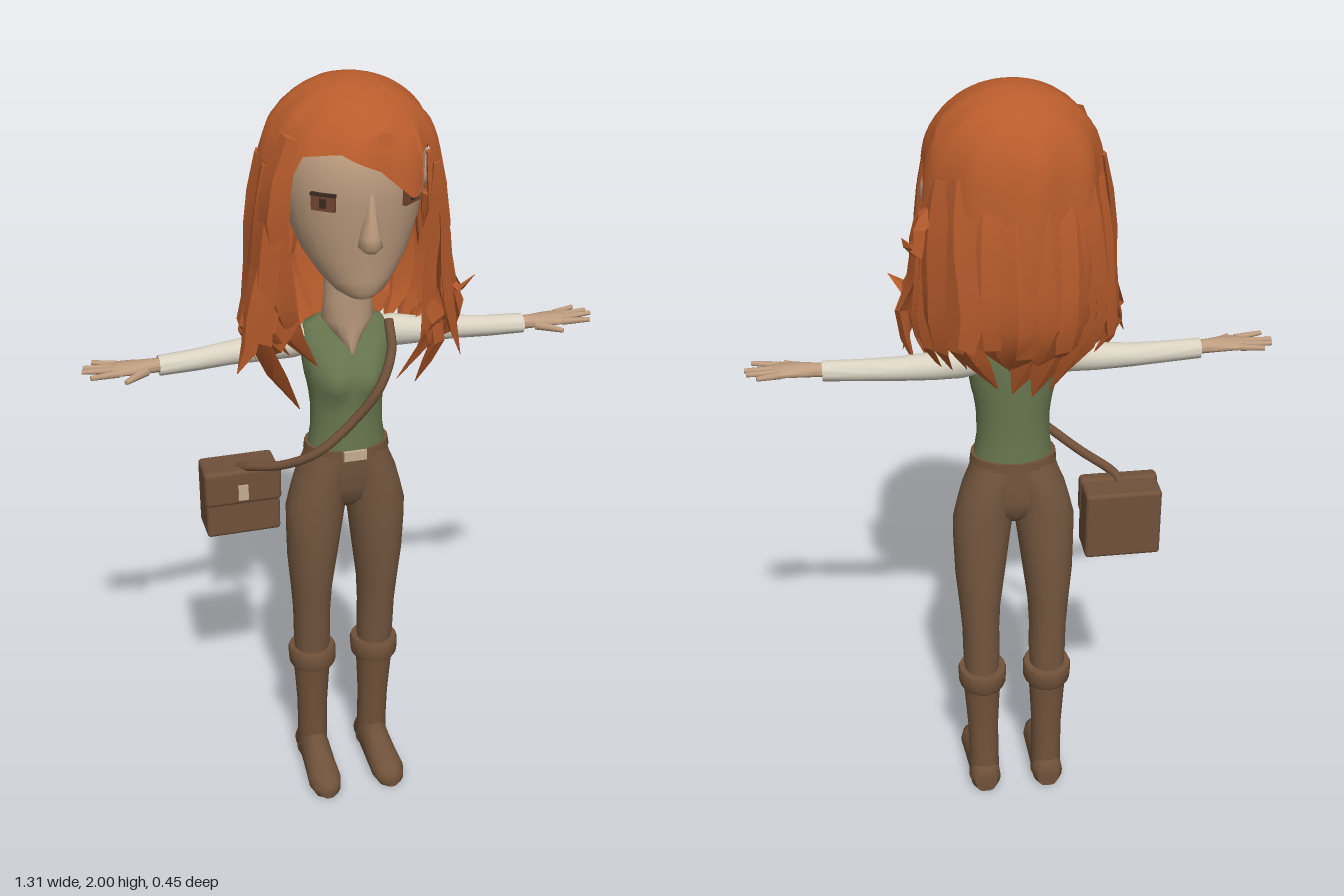
import * as THREE from 'three';
import { toCreasedNormals } from 'three/addons/utils/BufferGeometryUtils.js';
import { RoundedBoxGeometry } from 'three/addons/geometries/RoundedBoxGeometry.js';

const mat = (name, color, side = THREE.FrontSide) => {
  const m = new THREE.MeshStandardMaterial({ color, side });
  m.name = name;
  return m;
};
const V = (x, y, z) => new THREE.Vector3(x, y, z);

// Joins rings of points into a surface, with optional end caps
function skin(rings, caps = true, crease = 0.9) {
  const n = rings[0].length, pos = [], idx = [];
  rings.forEach(r => r.forEach(p => pos.push(p.x, p.y, p.z)));
  for (let i = 0; i < rings.length - 1; i++) {
    for (let j = 0; j < n; j++) {
      const k = (j + 1) % n, a = i * n + j, b = i * n + k;
      idx.push(a, a + n, b, b, a + n, b + n);
    }
  }
  if (caps) {
    [0, rings.length - 1].forEach((i, end) => {
      const c = rings[i].reduce((s, p) => s.add(p), V(0, 0, 0)).divideScalar(n);
      const ci = pos.length / 3;
      pos.push(c.x, c.y, c.z);
      for (let j = 0; j < n; j++) {
        const a = i * n + j, b = i * n + (j + 1) % n;
        idx.push(ci, end ? b : a, end ? a : b);
      }
    });
  }
  const g = new THREE.BufferGeometry();
  g.setAttribute('position', new THREE.Float32BufferAttribute(pos, 3));
  g.setIndex(idx);
  return toCreasedNormals(g, crease);
}

// Elliptical sections [x, y, z, rx, rz], from low to high y, optionally warped
const loft = (sections, n = 20, crease = 0.9, warp = p => p) => skin(sections.map(([x, y, z, rx, rz]) =>
  Array.from({ length: n }, (_, j) => {
    const a = j / n * Math.PI * 2;
    return warp(V(x + rx * Math.cos(a), y, z + rz * Math.sin(a)));
  })), true, crease);

// Pointed lock of hair along a curve, flat against the head
function lock(points, width, thick) {
  const curve = new THREE.CatmullRomCurve3(points), rings = [];
  const shape = [0.5, 0.95, 1, 0.9, 1.05, 0.75, 0.03];
  shape.forEach((s, i) => {
    const t = i / (shape.length - 1), p = curve.getPointAt(t), d = curve.getTangentAt(t);
    const out = V(p.x, 0, p.z).normalize();
    const side = out.clone().cross(d).normalize();
    rings.push([[out, thick], [side, width], [out, -thick], [side, -width]]
      .map(([e, r]) => p.clone().addScaledVector(e, r * s)));
  });
  return skin(rings, true, 0.4);
}

// Tapered round segment between two points
function segment(a, b, ra, rb) {
  const g = new THREE.CylinderGeometry(rb, ra, a.distanceTo(b), 8);
  g.applyQuaternion(new THREE.Quaternion().setFromUnitVectors(V(0, 1, 0), b.clone().sub(a).normalize()));
  return g.translate((a.x + b.x) / 2, (a.y + b.y) / 2, (a.z + b.z) / 2);
}

// Lower edge of the hair cap: [degrees from the front toward the left, height]
const HEM = [[-180, 1.47], [-130, 1.49], [-90, 1.58], [-62, 1.7], [-46, 1.86], [-20, 1.87], [5, 1.83], [27, 1.755],
  [34, 1.77], [39, 1.85], [50, 1.86], [60, 1.79], [80, 1.82], [102, 1.81], [112, 1.65], [135, 1.51], [180, 1.47]];
function hemAt(deg) {
  let i = 0;
  while (i < HEM.length - 2 && HEM[i + 1][0] < deg) i++;
  const [a, b] = [HEM[i], HEM[i + 1]];
  return THREE.MathUtils.lerp(a[1], b[1], (deg - a[0]) / (b[0] - a[0]));
}

// Crown waves sweep across the head, lower waves hang down
function hairCap() {
  const rings = [], n = 72, steps = 14;
  for (let i = 0; i <= steps; i++) {
    const t = Math.sin(i / steps * Math.PI / 2);
    rings.push(Array.from({ length: n }, (_, j) => {
      const a = j / n * Math.PI * 2, x = Math.cos(a), z = Math.sin(a);
      const hem = hemAt(THREE.MathUtils.radToDeg(Math.atan2(x, z)));
      const y = THREE.MathUtils.lerp(hem, 2.0, t);
      const f = Math.max(0, (y - 1.8) / 0.2), drop = Math.max(0, 1.82 - y);
      let r = Math.sqrt(Math.max(0, 1 - f * f)) * (1 + 0.08 * Math.sin(Math.PI * drop / 0.45));
      r *= 1 + 0.022 * Math.sin(f > 0.5 ? r * z * 16 + x * 3 : a * 9 + y * 6);
      return V(x * r * 0.212, y, z * r * (z > 0 ? 0.217 : 0.2));
    }));
  }
  return skin(rings, false, 0.5);
}

export function createModel() {
  const root = new THREE.Group();
  const M = {
    hair: mat('copper hair', 0xb85c2c, THREE.DoubleSide), skin: mat('tan skin', 0xbe9d7f),
    shirt: mat('green shirt', 0x68774f), sleeve: mat('cream sleeve', 0xd9d2c2),
    pants: mat('brown trousers', 0x74573f), boot: mat('boot leather', 0x70523a),
    bag: mat('bag leather', 0x70513a), buckle: mat('pale buckle', 0xc4ad90),
    iris: mat('brown eye', 0x70452f), dark: mat('dark lash', 0x3c2a22),
  };
  const add = (name, geo, m, parent = root) => {
    const mesh = new THREE.Mesh(geo, m);
    mesh.name = name;
    parent.add(mesh);
    return mesh;
  };

  // Torso with a soft chest, neck and hips
  const chest = p => {
    if (p.z > 0) p.z += .026 * Math.exp(-((Math.abs(p.x) - .045) ** 2) / .0016 - ((p.y - 1.24) ** 2) / .0018);
    return p;
  };
  add('shirt', loft([[0, 1.03, -.016, .104, .08], [0, 1.1, -.015, .093, .077], [0, 1.16, -.016, .093, .077],
    [0, 1.19, -.017, .096, .077], [0, 1.215, -.018, .1, .077], [0, 1.24, -.019, .106, .076], [0, 1.265, -.02, .11, .076],
    [0, 1.3, -.024, .114, .073], [0, 1.34, -.034, .118, .064], [0, 1.375, -.04, .1, .052],
    [0, 1.395, -.03, .062, .04]], 36, 0.9, chest), M.shirt);
  add('neck', loft([[0, 1.315, 0, .008, .048], [0, 1.36, -.003, .04, .05], [0, 1.4, -.005, .066, .052],
    [0, 1.45, 0, .06, .052], [0, 1.58, .01, .06, .055]]), M.skin);
  add('hips', loft([[0, .865, -.026, .03, .04], [0, .89, -.026, .08, .062], [0, .93, -.024, .125, .072],
    [0, .98, -.02, .121, .078], [0, 1.035, -.017, .106, .081]], 24), M.pants);
  add('belt', loft([[0, 1.03, -.017, .112, .087], [0, 1.053, -.017, .109, .085]], 24), M.boot);
  add('beltBuckle', new THREE.BoxGeometry(.06, .026, .009).translate(0, 1.043, .071), M.buckle);

  // Paired limbs, built on the left and mirrored
  for (const s of [1, -1]) {
    const half = new THREE.Group();
    half.name = s > 0 ? 'leftLimbs' : 'rightLimbs';
    half.scale.x = s;
    root.add(half);
    add('trouserLeg', loft([[.09, .36, -.05, .046, .048], [.09, .45, -.045, .05, .056], [.091, .52, -.042, .05, .06],
      [.092, .6, -.038, .055, .067], [.09, .7, -.033, .066, .076], [.085, .8, -.028, .074, .079],
      [.081, .86, -.026, .078, .08], [.074, .91, -.025, .073, .081], [.064, .96, -.023, .069, .081],
      [.05, 1.0, -.02, .066, .079], [.04, 1.035, -.017, .066, .076]]), M.pants, half);
    add('bootShaft', loft([[.088, .02, -.065, .043, .049], [.088, .1, -.061, .041, .045], [.089, .2, -.056, .042, .045],
      [.09, .3, -.052, .048, .048], [.09, .37, -.051, .054, .055]]), M.boot, half);
    const cuff = add('bootCuff', loft([[0, -.028, 0, .06, .064], [0, -.02, 0, .064, .068], [0, .018, 0, .066, .069],
      [0, .028, 0, .062, .065]]), M.boot, half);
    cuff.position.set(.089, .37, -.05);
    cuff.rotation.x = -.08;
    // Foot runs heel to toe, flattened at the sole
    add('foot', loft([[.088, -.116, -.035, .03, .04], [.088, -.1, -.04, .042, .05], [.088, -.03, -.04, .041, .07],
      [.09, .03, -.03, .043, .052], [.092, .09, -.024, .046, .04], [.092, .125, -.02, .036, .033],
      [.092, .142, -.018, .018, .02]], 20, 0.9, p => p.setZ(Math.min(0, p.z))).rotateX(Math.PI / 2), M.boot, half);

    // Arm sections run along x
    add('sleeve', loft([[-1.33, .07, -.045, .035, .035], [-1.326, .13, -.047, .042, .038], [-1.318, .2, -.047, .035, .034],
      [-1.315, .29, -.044, .03, .031], [-1.312, .38, -.033, .027, .028], [-1.312, .47, -.025, .025, .028]])
      .rotateZ(-Math.PI / 2), M.sleeve, half);
    add('hand', loft([[-1.314, .45, -.025, .017, .019], [-1.315, .49, -.022, .017, .022], [-1.317, .53, -.02, .015, .032],
      [-1.318, .57, -.02, .012, .037], [-1.318, .588, -.02, .008, .034]], 14).rotateZ(-Math.PI / 2), M.skin, half);
    [[-.047, .627, -.066], [-.03, .652, -.04], [-.011, .657, -.018], [.008, .64, .022]].forEach(([z, x, tip]) =>
      add('finger', segment(V(.57, 1.318, z), V(x, 1.321, tip), .0095, .006), M.skin, half));
    add('thumb', segment(V(.505, 1.31, -.005), V(.56, 1.308, .042), .013, .006), M.skin, half);

    // Ear and eye
    const ear = add('ear', new THREE.SphereGeometry(.05, 12, 10), M.skin, half);
    ear.scale.set(.5, 1, .65);
    ear.position.set(.193, 1.75, -.03);
    ear.rotation.z = -.2;
    const eye = new THREE.Group();
    eye.name = 'eye';
    eye.position.set(.104, 1.755, .167);
    eye.rotation.y = .66;
    half.add(eye);
    add('iris', new THREE.BoxGeometry(.058, .036, .009), M.iris, eye);
    add('lashes', new THREE.BoxGeometry(.062, .007, .009).translate(0, .02, .001), M.dark, eye);
    add('pupil', new THREE.BoxGeometry(.016, .022, .004).translate(0, 0, .004), M.dark, eye);
  }

  // Head and nose
  add('head', loft([[0, 1.503, .108, .035, .042], [0, 1.52, .1, .062, .062], [0, 1.55, .08, .09, .085],
    [0, 1.61, .055, .128, .122], [0, 1.68, .033, .156, .154], [0, 1.75, .018, .172, .183], [0, 1.83, .012, .178, .192],
    [0, 1.89, .016, .158, .165], [0, 1.94, .01, .11, .11]], 28), M.skin);
  add('nose', loft([[0, 1.637, .185, .016, .025], [0, 1.65, .19, .029, .034], [0, 1.675, .19, .025, .032],
    [0, 1.72, .188, .015, .025], [0, 1.79, .188, .01, .012]], 12, 1.2), M.skin);

  // Hair: cap, then broad layered locks around the sides and back
  add('hairCap', hairCap(), M.hair);
  let seed = 11;
  const rnd = () => (seed = (seed * 16807) % 2147483647) / 2147483647;
  const polar = (deg, r, y) => {
    const a = THREE.MathUtils.degToRad(deg);
    return V(Math.sin(a) * r, y, Math.cos(a) * r * .88);
  };
  for (let layer = 0; layer < 2; layer++) {
    for (let deg = 58 + layer * 9; deg <= 304; deg += 18) {
      const nearEar = deg > 72 && deg < 112;
      const back = Math.max(0, -Math.cos(THREE.MathUtils.degToRad(deg)));
      const top = nearEar ? 1.69 : 1.83 - .05 * rnd();
      const low = 1.25 + .1 * rnd() + layer * .05, flick = .06 * rnd() * (1 - back * .6);
      const r = .2 + layer * .012, sway = (rnd() - .5) * 26;
      add('hairLock', lock([polar(deg, r, top), polar(deg + sway * .3, r + .022, top - .16),
        polar(deg + sway, r + .014 + flick * .5, 1.49), polar(deg + sway * .4, r + .012 + flick - back * .03, 1.41),
        polar(deg - sway * .9, r - .02 + flick - back * .07, low)], .042 + .018 * rnd(), .016), M.hair);
    }
  }
  // Long front locks framing the face, and outward flicks
  [[[-.17, 1.9, .125], [-.21, 1.74, .115], [-.2, 1.58, .12], [-.19, 1.45, .125], [-.11, 1.33, .12], .05],
    [[-.185, 1.84, .09], [-.215, 1.7, .1], [-.235, 1.52, .1], [-.25, 1.41, .1], [-.15, 1.21, .1], .055],
    [[-.2, 1.75, .08], [-.225, 1.6, .09], [-.255, 1.49, .09], [-.265, 1.4, .09], [-.3, 1.32, .09], .045],
    [[.18, 1.81, .115], [.175, 1.7, .125], [.14, 1.56, .14], [.19, 1.42, .125], [.09, 1.27, .12], .05],
    [[.19, 1.84, .08], [.205, 1.7, .09], [.21, 1.55, .1], [.23, 1.42, .1], [.265, 1.3, .09], .048],
    [[.17, 1.6, .12], [.16, 1.53, .13], [.17, 1.46, .125], [.2, 1.38, .115], [.14, 1.25, .11], .045],
    [[.2, 1.72, .04], [.225, 1.62, .05], [.23, 1.54, .07], [.245, 1.47, .08], [.295, 1.51, .09], .038],
    [[.2, 1.74, -.09], [.225, 1.7, -.09], [.23, 1.66, -.1], [.24, 1.64, -.1], [.27, 1.68, -.11], .03],
  ].forEach(l => add('faceLock', lock(l.slice(0, 5).map(q => V(...q)), l[5], .016), M.hair));

  // Shoulder bag with front flap, clasp and strap
  add('bag', new RoundedBoxGeometry(.196, .186, .106, 2, .01).translate(-.268, .881, -.098), M.bag);
  add('bagFlap', new RoundedBoxGeometry(.203, .1, .04, 2, .012).translate(-.268, .93, -.058), M.bag);
  add('bagClasp', new THREE.BoxGeometry(.026, .042, .009).translate(-.27, .918, -.036), M.buckle);
  const strap = new THREE.CatmullRomCurve3([[-.27, .972, -.08], [-.255, .985, -.05], [-.18, 1.015, .02],
    [-.1, 1.065, .07], [-.01, 1.14, .075], [.06, 1.235, .084], [.1, 1.31, .045], [.112, 1.365, -.02]]
    .map(q => V(...q)));
  add('bagStrap', new THREE.TubeGeometry(strap, 40, .012, 8), M.bag);

  return root;
}
